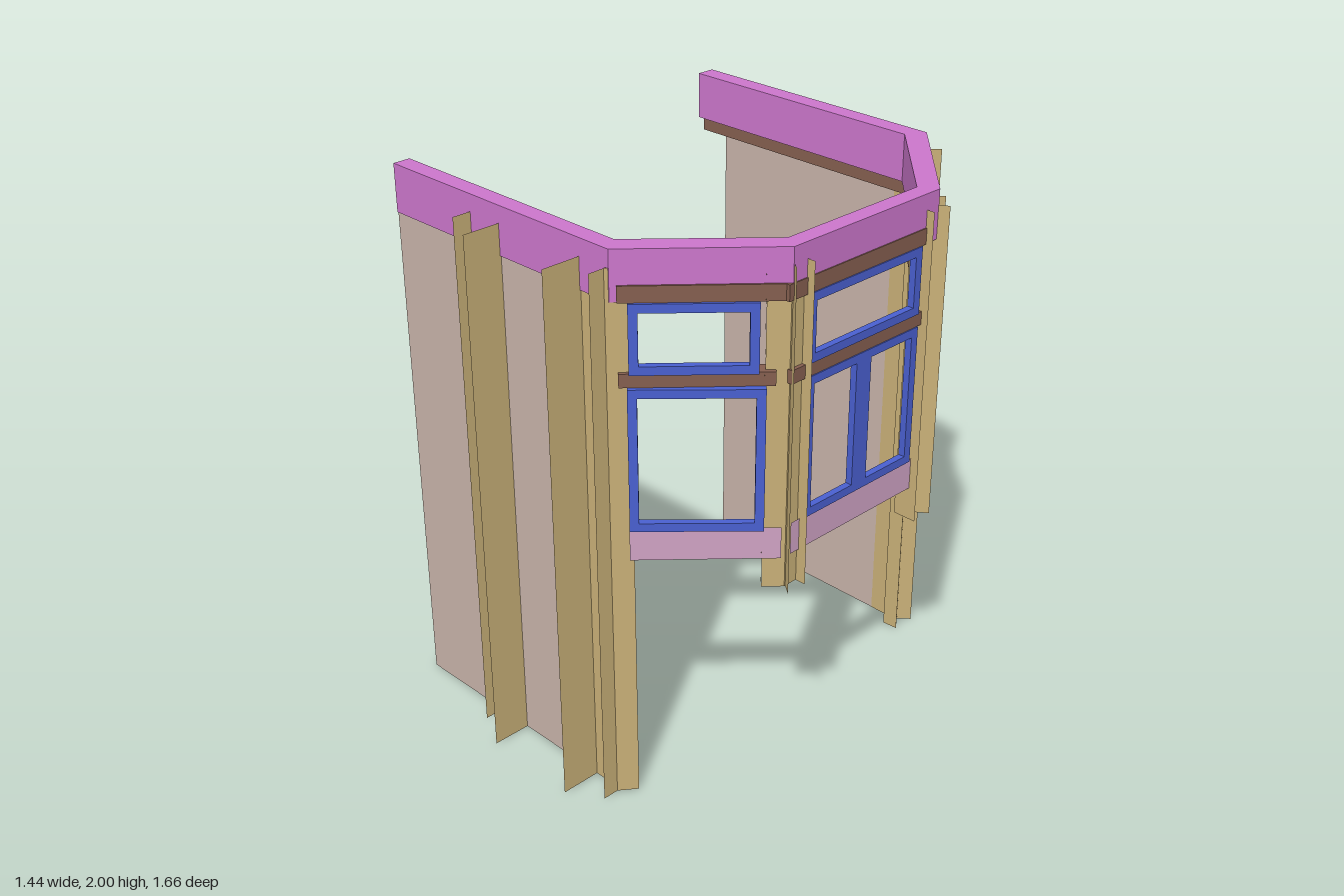
import * as THREE from 'three';

const mat = (color) => new THREE.MeshStandardMaterial({ color, side: THREE.DoubleSide, flatShading: true });

export function createModel() {
  const model = new THREE.Group();
  model.name = 'bayWindowFrame';
  const pink = mat(0xcc77cc), timber = mat(0xc9b078), blue = mat(0x4a60d0);
  const brown = mat(0x855f50), lilac = mat(0xcfa3c4), plaster = mat(0xc8b4aa);

  // Places a geometry so its local x runs from plan point a to b; local +z faces outward.
  function place(name, geo, material, a, b, y) {
    const mesh = new THREE.Mesh(geo, material);
    mesh.name = name;
    mesh.position.set((a[0] + b[0]) / 2, y, (a[1] + b[1]) / 2);
    mesh.rotation.y = Math.atan2(a[1] - b[1], b[0] - a[0]);
    model.add(mesh);
  }
  const span = (a, b) => Math.hypot(b[0] - a[0], b[1] - a[1]);

  // Thin upright sheet between two plan points
  function sheet(name, material, a, b, y0, y1) {
    place(name, new THREE.PlaneGeometry(span(a, b), y1 - y0), material, a, b, (y0 + y1) / 2);
  }
  // Solid bar; its depth runs from local z = back to z = front
  function bar(name, material, a, b, y0, y1, back, front) {
    const geo = new THREE.BoxGeometry(span(a, b), y1 - y0, front - back);
    geo.translate(0, 0, (front + back) / 2);
    place(name, geo, material, a, b, (y0 + y1) / 2);
  }
  // Rectangular frame; each pane is [left, right] from the centre line
  function frame(name, a, b, y0, y1, panes) {
    const w = span(a, b) / 2, h = (y1 - y0) / 2, e = 0.03;
    const rect = (P, l, r, t) => new P([[l, -t], [r, -t], [r, t], [l, t]].map(([x, y]) => new THREE.Vector2(x, y)));
    const shape = rect(THREE.Shape, -w, w, h);
    for (const [l, r] of panes || [[-w + e, w - e]]) shape.holes.push(rect(THREE.Path, l, r, h - e));
    const geo = new THREE.ExtrudeGeometry(shape, { depth: 0.025, bevelEnabled: false });
    geo.translate(0, 0, -0.015);
    place(name, geo, blue, a, b, (y0 + y1) / 2);
  }

  // Ring beam following the bay in plan
  const plan = [[-0.72, 0.69], [0.32, 0.69], [0.69, 0.29], [0.69, -0.39], [0.315, -0.79], [-0.72, -0.79],
    [-0.72, -0.72], [0.275, -0.72], [0.628, -0.35], [0.628, 0.25], [0.275, 0.625], [-0.72, 0.625]];
  const beamGeo = new THREE.ExtrudeGeometry(new THREE.Shape(plan.map(([x, z]) => new THREE.Vector2(x, -z))),
    { depth: 0.17, bevelEnabled: false });
  beamGeo.rotateX(-Math.PI / 2).translate(0, 1.83, 0);
  const beam = new THREE.Mesh(beamGeo, pink);
  beam.name = 'ringBeam';
  model.add(beam);

  // Side walls with the post webs set into them
  const wz = 0.686, bz = -0.787;
  sheet('frontWallOuterPanel', plaster, [-0.72, wz], [-0.325, wz], 0, 1.84);
  sheet('frontWallInnerPanel', plaster, [-0.185, wz], [0.19, wz], 0, 1.84);
  sheet('frontWallPostWeb', timber, [-0.325, wz], [-0.185, wz], 0, 1.84);
  sheet('backWall', plaster, [-0.64, bz], [0.19, bz], 0, 1.84);

  // Fins standing out of the front wall
  for (const [x, z] of [[-0.325, 0.76], [-0.185, 0.83], [0.19, 0.835], [0.31, 0.76]]) {
    sheet('frontWallFin', timber, [x, wz], [x, z], 0, 1.94);
  }
  sheet('backWallFin', timber, [0.19, bz], [0.19, -0.83], 0, 1.94);
  sheet('backCornerFin', timber, [0.31, -0.79], [0.355, -0.83], 0, 1.94);

  // Wall plates under the beam
  bar('frontWallPlate', brown, [-0.72, 0.685], [-0.36, 0.685], 1.775, 1.83, -0.055, 0);
  bar('backWallPlate', brown, [0.31, -0.787], [-0.72, -0.787], 1.775, 1.84, -0.04, 0.028);

  // Parts that match on the front and back halves of the bay, mirrored about z = -0.05
  for (const side of ['front', 'back']) {
    const flip = side === 'back';
    const m = ([x, z]) => (flip ? [x, -0.1 - z] : [x, z]);
    const pair = (a, b) => (flip ? [m(b), m(a)] : [a, b]);

    // Full-height corner post
    sheet(side + 'CornerPostWeb', timber, ...pair([0.19, wz], [0.32, wz]), 0, 1.84);
    sheet(side + 'CornerPostFlange', timber, ...pair([0.31, 0.70], [0.355, 0.64]), 0, 1.94);
    sheet(side + 'CornerPostReturn', timber, ...pair([0.295, 0.635], [0.355, 0.64]), 0, 1.84);

    // Hanging post between the diagonal and the middle of the bay
    sheet(side + 'BayPostDiagonalFin', timber, ...pair([0.60, 0.31], [0.655, 0.37]), 0.815, 1.945);
    sheet(side + 'BayPostMiddleFin', timber, ...pair([0.63, 0.23], [0.72, 0.23]), 0.815, 1.945);
    sheet(side + 'BayPostDiagonalWeb', timber, ...pair([0.63, 0.34], [0.68, 0.285]), 0.815, 1.945);
    sheet(side + 'BayPostMiddleWeb', timber, ...pair([0.68, 0.285], [0.68, 0.23]), 0.815, 1.945);
    sheet(side + 'BayPostCornerFin', timber, ...pair([0.68, 0.28], [0.72, 0.31]), 0.815, 1.945);

    // Diagonal windows, rails and sill
    frame(side + 'DiagonalLowerWindow', ...pair([0.36, 0.663], [0.655, 0.36]), 1.05, 1.55);
    frame(side + 'DiagonalUpperWindow', ...pair([0.36, 0.655], [0.63, 0.367]), 1.595, 1.83);
    bar(side + 'DiagonalTopRail', brown, ...pair([0.335, 0.675], [0.685, 0.297]), 1.83, 1.885, -0.05, 0.006);
    bar(side + 'DiagonalMiddleRail', brown, ...pair([0.335, 0.675], [0.66, 0.324]), 1.55, 1.597, -0.05, 0.006);
    sheet(side + 'DiagonalSill', lilac, ...pair([0.355, 0.66], [0.685, 0.31]), 0.935, 1.05);
  }

  // Middle windows, rails and sill
  const x = 0.688;
  frame('middleLowerWindow', [x, 0.22], [x, -0.31], 1.05, 1.55, [[-0.235, -0.035], [0.035, 0.235]].map(
    ([l, r]) => [l, r].map((v) => v)));
  frame('middleUpperWindow', [x, 0.22], [x, -0.31], 1.595, 1.83);
  bar('middleTopRail', brown, [x, 0.31], [x, -0.36], 1.83, 1.885, -0.05, 0.006);
  bar('middleRail', brown, [x, 0.29], [x, -0.36], 1.55, 1.597, -0.05, 0.006);
  sheet('middleSill', lilac, [x, 0.27], [x, -0.37], 0.935, 1.05);

  return model;
}
